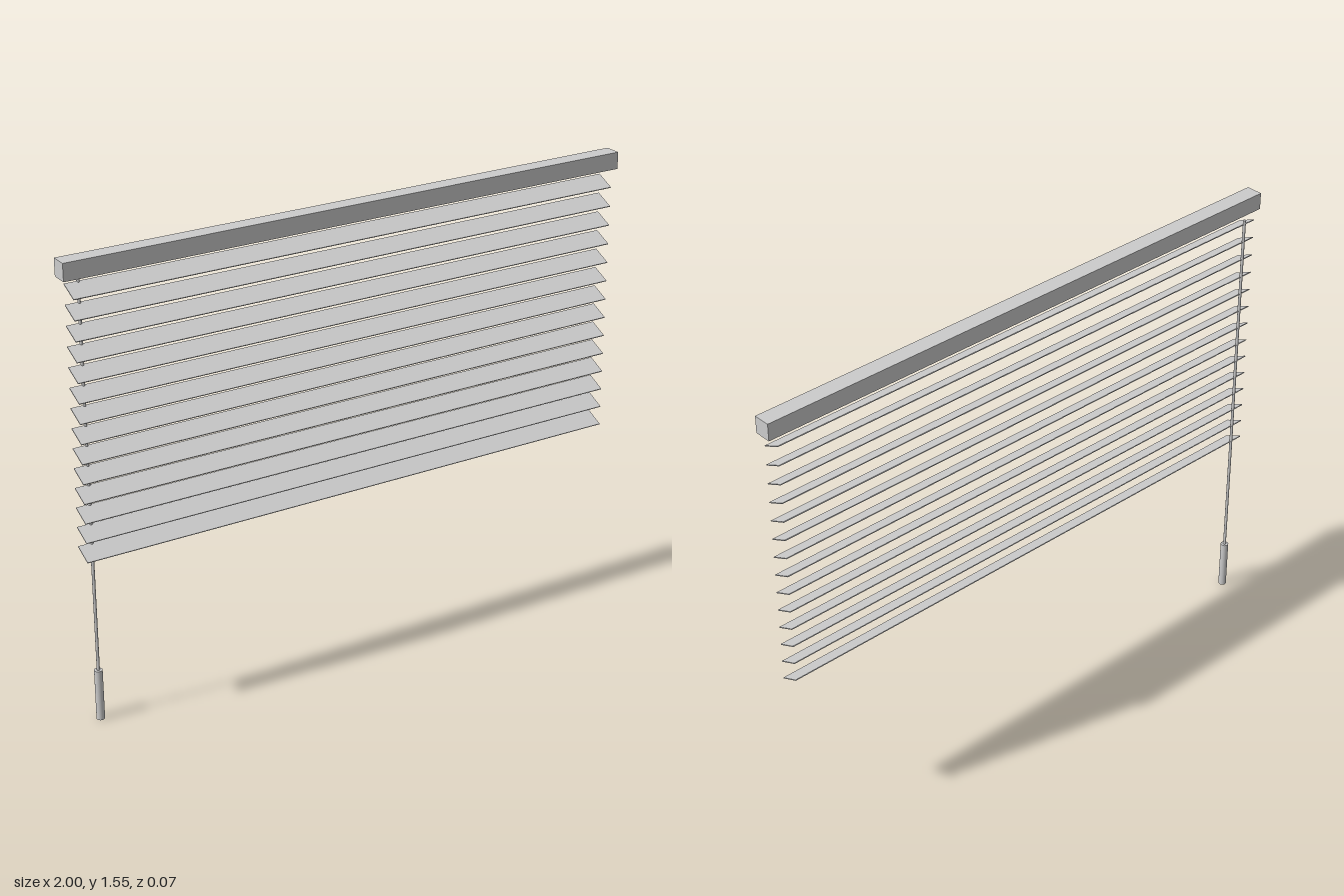
import * as THREE from 'three';

export function createModel() {
  const model = new THREE.Group();
  model.name = 'venetianBlind';
  const lightGrey = new THREE.MeshStandardMaterial({ color: 0xcccccc });
  lightGrey.name = 'light grey';

  const add = (name, geometry, x, y, z, parent = model) => {
    const mesh = new THREE.Mesh(geometry, lightGrey);
    mesh.name = name;
    mesh.position.set(x, y, z);
    parent.add(mesh);
    return mesh;
  };

  // Head rail
  add('headRail', new THREE.BoxGeometry(2, 0.057, 0.057), 0, 1.524, 0.006);

  // Tilted slats, front edge lower than the back edge
  const slats = new THREE.Group();
  slats.name = 'slats';
  model.add(slats);
  const slatCount = 14, lowest = 0.603, spacing = 0.0653;
  const slatGeometry = new THREE.BoxGeometry(1.946, 0.003, 0.069);
  for (let i = 0; i < slatCount; i++) {
    const slat = add('slat', slatGeometry, 0, lowest + i * spacing, 0.007, slats);
    slat.rotation.x = THREE.MathUtils.degToRad(25);
  }

  // Pull cord behind the slats with its handle at the bottom
  const cordX = -0.928, cordZ = -0.0225;
  add('pullCord', new THREE.CylinderGeometry(0.005, 0.005, 1.31, 16), cordX, 0.825, cordZ);
  add('cordHandle', new THREE.CylinderGeometry(0.0135, 0.0135, 0.175, 24), cordX, 0.0875, cordZ);

  return model;
}
